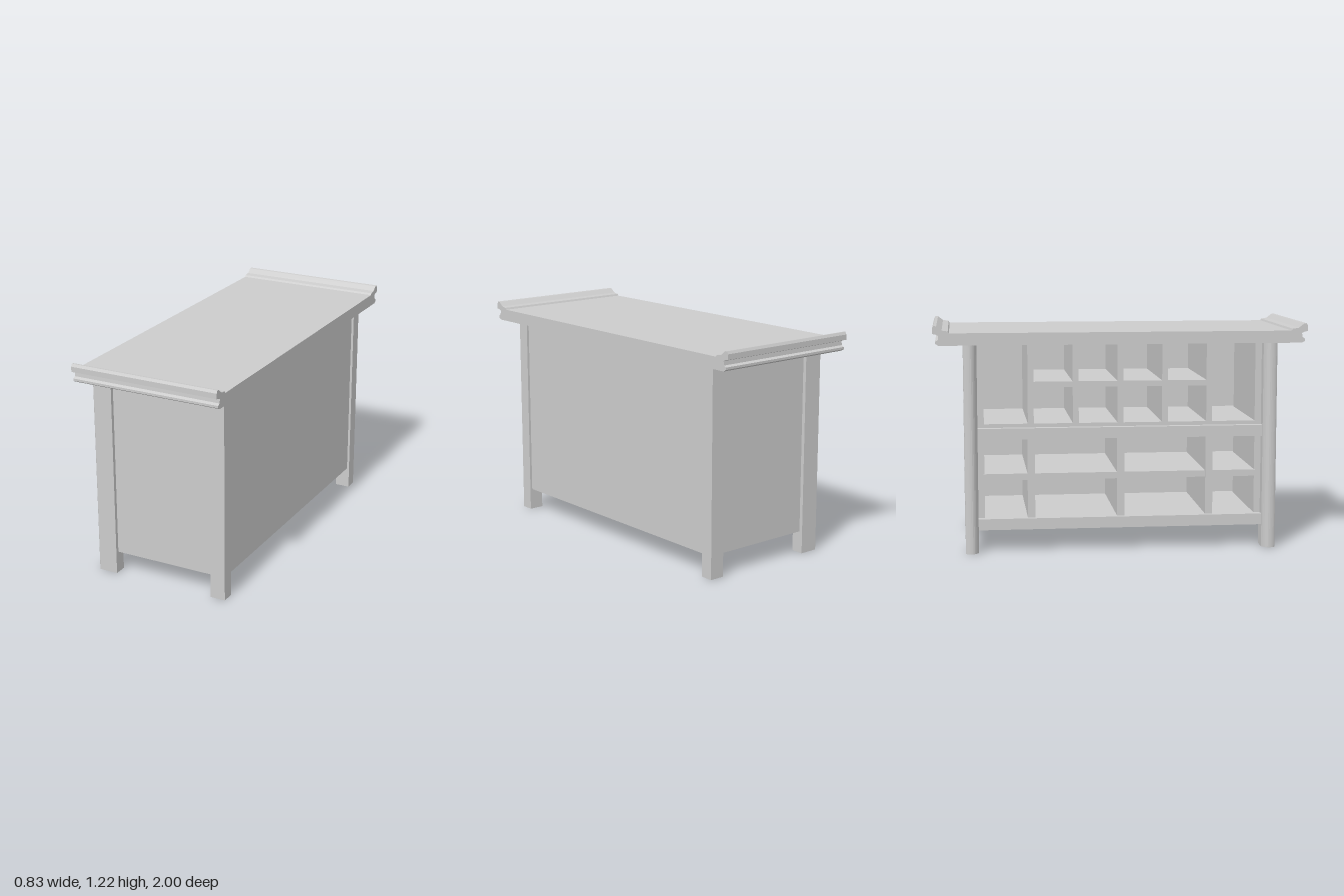
import * as THREE from 'three';

const mat = new THREE.MeshStandardMaterial({ color: 0xcccccc, flatShading: true });

export function createModel() {
  const model = new THREE.Group();
  model.name = 'altarCabinet';

  const add = (name, geometry) => {
    const mesh = new THREE.Mesh(geometry, mat);
    mesh.name = name;
    model.add(mesh);
    return mesh;
  };
  // Box given by its limits on each axis
  const box = (name, x0, x1, y0, y1, z0, z1) => {
    const mesh = add(name, new THREE.BoxGeometry(x1 - x0, y1 - y0, z1 - z0));
    mesh.position.set((x0 + x1) / 2, (y0 + y1) / 2, (z0 + z1) / 2);
  };

  // Table top: moulded profile with upturned ends, extruded across the width
  const end = [
    [0.968, 1.12], [0.985, 1.13], [0.985, 1.142], [0.97, 1.15], [0.968, 1.172],
    [0.985, 1.18], [1.0, 1.182], [1.0, 1.21], [0.992, 1.224], [0.978, 1.222],
    [0.95, 1.2], [0.918, 1.195], [0.912, 1.185],
  ];
  const outline = [...end, ...end.map(([z, y]) => [-z, y]).reverse()];
  const topShape = new THREE.Shape(outline.map(([z, y]) => new THREE.Vector2(z, y)));
  const top = new THREE.ExtrudeGeometry(topShape, { depth: 0.83, bevelEnabled: false });
  top.translate(0, 0, -0.415).rotateY(-Math.PI / 2);
  add('tableTop', top);

  for (const s of [1, -1]) {
    const side = s > 0 ? 'front' : 'back';
    // Plain legs on the closed side
    const z0 = Math.min(s * 0.77, s * 0.84);
    box(side + 'PlainLeg', 0.287, 0.37, 0, 1.12, z0, z0 + 0.07);

    // Legs on the open side, with a rounded outer face
    const leg = new THREE.Shape();
    leg.moveTo(-0.287, -s * 0.77);
    leg.lineTo(-0.37, -s * 0.77);
    leg.quadraticCurveTo(-0.408, -s * 0.785, -0.405, -s * 0.81);
    leg.quadraticCurveTo(-0.403, -s * 0.83, -0.392, -s * 0.84);
    leg.lineTo(-0.287, -s * 0.84);
    const legGeo = new THREE.ExtrudeGeometry(leg, { depth: 1.12, bevelEnabled: false, curveSegments: 5 });
    add(side + 'RoundedLeg', legGeo.rotateX(-Math.PI / 2));

    // End panel between the legs
    const p0 = Math.min(s * 0.735, s * 0.82);
    box(side + 'EndPanel', -0.288, 0.288, 0.12, 1.12, p0, p0 + 0.085);
    const q0 = Math.min(s * 0.735, s * 0.771);
    box(side + 'ShelfPost', -0.32, -0.287, 0.18, 1.12, q0, q0 + 0.036);
  }

  // Closed side panel and main boards
  box('closedPanel', 0.32, 0.357, 0.12, 1.12, -0.77, 0.77);
  box('bottomBoard', -0.357, 0.33, 0.12, 0.18, -0.77, 0.77);
  box('middleBoard', -0.357, 0.33, 0.61, 0.67, -0.77, 0.77);
  box('upperFloor', -0.32, 0.33, 0.67, 0.69, -0.74, 0.74);

  // Thin shelves
  box('lowerShelf', -0.325, 0.33, 0.385, 0.42, -0.74, 0.74);
  box('upperShelf', -0.315, 0.33, 0.885, 0.915, -0.48, 0.48);

  // Upright dividers: narrow bays above, wide bays below
  for (let i = -2; i <= 2; i++) {
    const z = i * 0.242;
    box('upperDivider', -0.32, 0.33, 0.69, 1.12, z - 0.016, z + 0.016);
    if (i % 2 === 0) box('lowerDivider', -0.33, 0.33, 0.18, 0.61, z - 0.02, z + 0.02);
  }
  return model;
}
